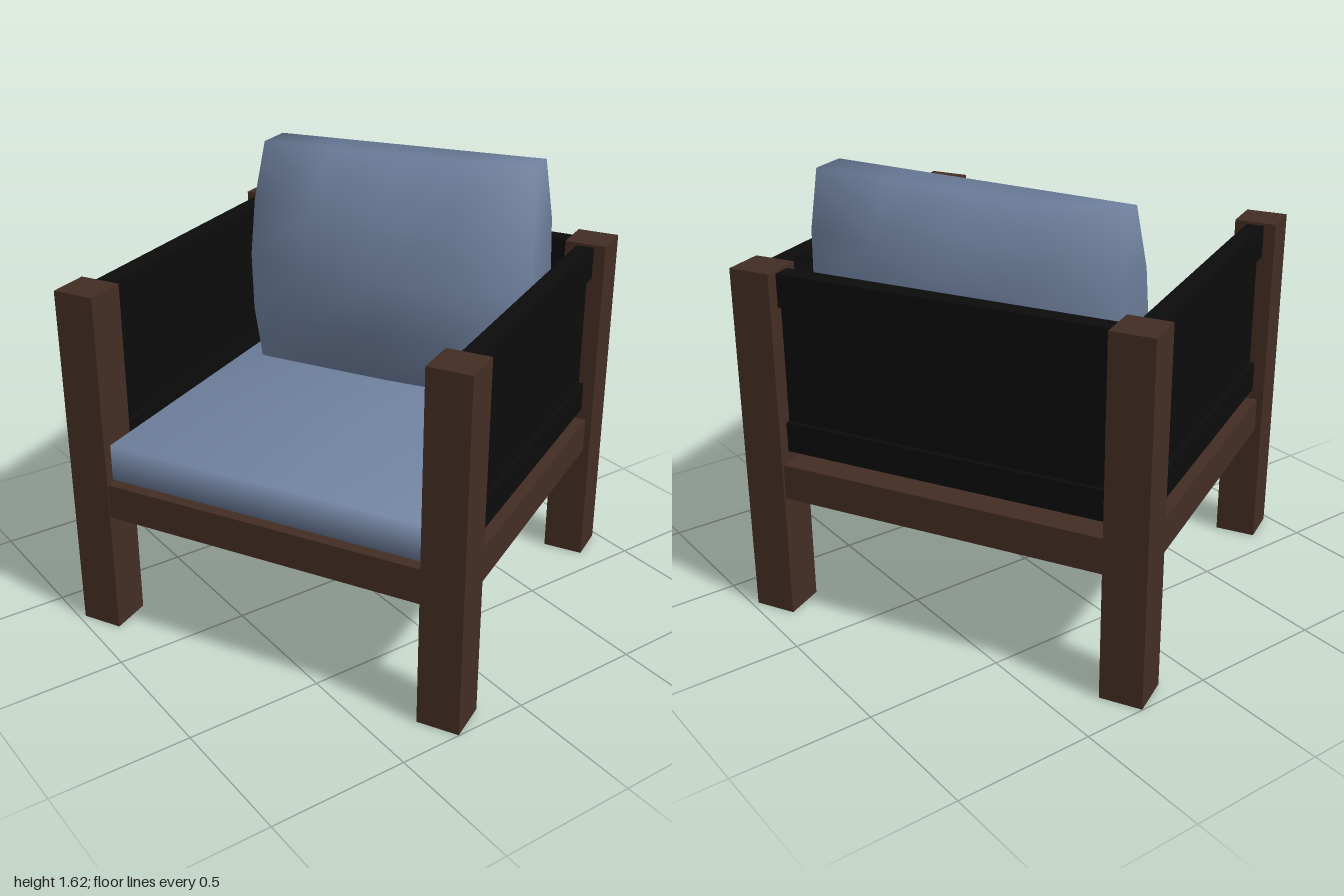
import * as THREE from 'three';
import { mergeVertices } from 'three/addons/utils/BufferGeometryUtils.js';

const HX = 0.679, HZ = 0.6305, POST = 0.153; // post centres and thickness

export function createModel() {
  const wood = new THREE.MeshStandardMaterial({ color: 0x432d23 });
  wood.name = 'darkWood';
  const leather = new THREE.MeshStandardMaterial({ color: 0x0c0c0c });
  leather.name = 'blackLeather';
  const fabric = new THREE.MeshStandardMaterial({ color: 0x7082a0 });
  fabric.name = 'blueFabric';

  const chair = new THREE.Group();
  chair.name = 'armchair';

  function box(name, mat, w, h, d, x, y, z, parent = chair) {
    const m = new THREE.Mesh(new THREE.BoxGeometry(w, h, d), mat);
    m.name = name;
    m.position.set(x, y, z);
    parent.add(m);
    return m;
  }

  // Box whose vertices are shared across edges, for soft shading
  function softBox(name, w, h, d, segs, rule) {
    let g = new THREE.BoxGeometry(w, h, d, ...segs);
    g.deleteAttribute('normal');
    g.deleteAttribute('uv');
    g = mergeVertices(g);
    if (rule) {
      const p = g.attributes.position, v = new THREE.Vector3();
      for (let i = 0; i < p.count; i++) {
        rule(v.fromBufferAttribute(p, i));
        p.setXYZ(i, v.x, v.y, v.z);
      }
    }
    g.computeVertexNormals();
    const m = new THREE.Mesh(g, fabric);
    m.name = name;
    chair.add(m);
    return m;
  }

  // Posts
  for (const sx of [-1, 1]) for (const sz of [-1, 1])
    box('post', wood, POST, 1.3, POST, sx * HX, 0.65, sz * HZ);

  // Rails between the posts
  const lenX = 2 * HX - POST, lenZ = 2 * HZ - POST;
  for (const s of [-1, 1]) box('sideRail', wood, 0.106, 0.13, lenZ, s * HX, 0.53, 0);
  box('frontRail', wood, lenX, 0.13, 0.106, 0, 0.53, HZ + 0.02);
  box('backRail', wood, lenX, 0.13, 0.106, 0, 0.53, -HZ - 0.014);

  // Seat slats
  for (const x of [-0.48, -0.16, 0.16, 0.48])
    box('seatSlat', wood, 0.065, 0.05, 2 * HZ - 0.08, x, 0.565, 0);

  // Slings: thin sheet with thicker hems at top and bottom
  function sling(name, length, x, z, turn) {
    const g = new THREE.Group();
    g.name = name;
    box('sheet', leather, length, 0.6, 0.03, 0, 0.96, 0, g);
    box('topHem', leather, length, 0.12, 0.066, 0, 1.23, 0, g);
    box('bottomHem', leather, length, 0.11, 0.066, 0, 0.69, 0, g);
    g.position.set(x, 0, z);
    g.rotation.y = turn;
    chair.add(g);
  }
  sling('backSling', lenX, 0, -HZ, 0);
  for (const s of [-1, 1]) sling('armSling', lenZ, s * HX, 0, Math.PI / 2);

  // Seat cushion
  softBox('seatCushion', 1.2, 0.135, 1.275, [2, 1, 2]).position.set(0, 0.6725, 0.0375);

  // Back pillow: bulging in the middle, thin at the rim, leaning back a little
  const pillow = softBox('backPillow', 2, 2, 2, [4, 4, 1], (p) => {
    const u = p.x, v = p.y;
    const half = 0.07 + 0.15 * (1 - 0.75 * Math.abs(u) ** 3) * (1 - v * v);
    p.set(u * 0.575 * (1 - 0.06 * v * v), v * 0.43, p.z * half - 0.05 * v);
  });
  pillow.position.set(0.005, 1.17, -0.37);
  pillow.rotation.z = 0.03;

  // The whole chair stands turned
  chair.rotation.y = -62.1 * Math.PI / 180;
  const model = new THREE.Group();
  model.name = 'model';
  model.add(chair);
  return model;
}
